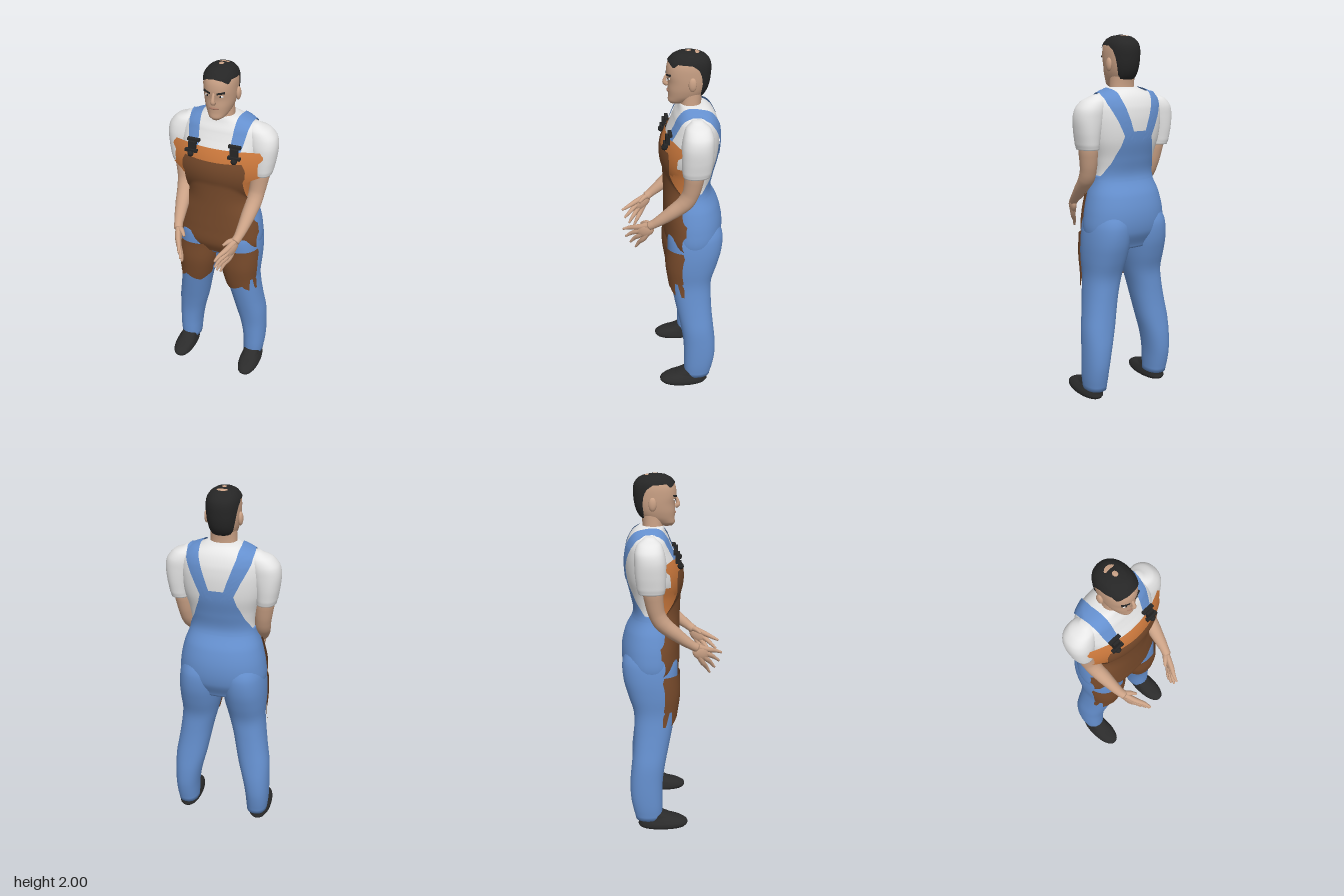
import * as THREE from 'three';
import { mergeVertices } from 'three/addons/utils/BufferGeometryUtils.js';

const P = 0.9; // roundness of the cross-sections
const lerp = (a, b, t) => a + (b - a) * t;
const pw = v => Math.sign(v) * Math.abs(v) ** P;
const rad = d => d * Math.PI / 180;
const mat = (name, color) => {
  const m = new THREE.MeshStandardMaterial({ color, side: THREE.DoubleSide });
  m.name = name;
  return m;
};
// Piecewise linear value from [key, value] pairs
const ramp = pts => k => {
  let i = 0;
  while (i < pts.length - 2 && k > pts[i + 1][0]) i++;
  const t = THREE.MathUtils.clamp((k - pts[i][0]) / (pts[i + 1][0] - pts[i][0]), 0, 1);
  return lerp(pts[i][1], pts[i + 1][1], t);
};
// Smooth body surface from rows of [y, centre x, centre z, half width, front depth, back depth]
const surface = rows => {
  const s = y => {
    let i = 0;
    while (i < rows.length - 2 && y > rows[i + 1][0]) i++;
    const t = THREE.MathUtils.clamp((y - rows[i][0]) / (rows[i + 1][0] - rows[i][0]), 0, 1);
    const A = rows[Math.max(i - 1, 0)], B = rows[i], C = rows[i + 1], D = rows[Math.min(i + 2, rows.length - 1)];
    return [1, 2, 3, 4, 5].map(k => {
      const m0 = (C[k] - A[k]) / 2, m1 = (D[k] - B[k]) / 2;
      const v = (2 * t ** 3 - 3 * t * t + 1) * B[k] + (t ** 3 - 2 * t * t + t) * m0 + (3 * t * t - 2 * t ** 3) * C[k] + (t ** 3 - t * t) * m1;
      return k > 2 ? Math.max(v, 0.001) : v;
    });
  };
  s.min = rows[0][0];
  s.max = rows[rows.length - 1][0];
  return s;
};
const inside = (s, x, y, z) => {
  if (y < s.min || y > s.max) return false;
  const [cx, cz, rx, f, b] = s(y);
  return (Math.abs(x - cx) / rx) ** (2 / P) + (Math.abs(z - cz) / (z > cz ? f : b)) ** (2 / P) < 1;
};
// Grid surface from a function of (u, v)
function grid(fn, nu, nv) {
  const pos = [], idx = [];
  for (let j = 0; j <= nv; j++) for (let i = 0; i <= nu; i++) pos.push(...fn(i / nu, j / nv));
  for (let j = 0; j < nv; j++) for (let i = 0; i < nu; i++) {
    const a = j * (nu + 1) + i, b = a + 1, c = a + nu + 1, d = c + 1;
    idx.push(a, b, d, a, d, c);
  }
  let g = new THREE.BufferGeometry();
  g.setAttribute('position', new THREE.Float32BufferAttribute(pos, 3));
  g.setIndex(idx);
  g = mergeVertices(g, 1e-5);
  g.computeVertexNormals();
  return g;
}
const onSurface = (s, y, a, off, k = 1) => {
  const [cx, cz, rx, f, b] = s(y), c = Math.cos(a);
  return [cx + k * (rx + off) * pw(Math.sin(a)), y, cz + k * ((c > 0 ? f : b) + off) * pw(c)];
};
// Closed loft between two heights
const loft = (s, y0 = s.min, y1 = s.max, off = 0, n = 40) => grid((u, v) => {
  const w = (v * (n + 2) - 1) / n, k = w < -1e-6 || w > 1 + 1e-6 ? 0 : 1;
  return onSurface(s, lerp(y0, y1, THREE.MathUtils.clamp(w, 0, 1)), lerp(-Math.PI, Math.PI, u), off, k);
}, 40, n + 2);
// Cloth wrapped round a surface between two angles
const wrap = (s, a0, a1, bot, top, off, nu = 32, nv = 20) => grid((u, v) => {
  const y = lerp(bot(u), top, v);
  return onSurface(s, y, lerp(a0(y), a1(y), u), off);
}, nu, nv);
// Cloth hanging on the front of a surface
const drape = (s, hw, bot, top, off, bib = () => -9) => grid((u, v) => {
  const y = lerp(bot(u), top(u), v), [cx, cz, rx, f] = s(y);
  const d = Math.sin((2 * u - 1) * Math.PI / 2) * hw(y);
  const c = Math.min(Math.abs(d * 0.95) / rx, 1) ** (1 / P);
  return [cx + d, y, Math.max(cz + f * Math.sqrt(1 - c * c) ** P, bib(d, y)) + off];
}, 48, 44);
// Tapered round limb through [x, y, z, radius] points
function limb(pts, n = 14, steps = 20) {
  const curve = new THREE.CatmullRomCurve3(pts.map(p => new THREE.Vector3(p[0], p[1], p[2])));
  const radius = ramp(pts.map((p, i) => [i / (pts.length - 1), p[3]]));
  return grid((u, v) => {
    const w = THREE.MathUtils.clamp((v * (steps + 2) - 1) / steps, 0, 1);
    const r = v === 0 || v === 1 ? 0 : radius(w);
    const p = curve.getPoint(w), t = curve.getTangent(w);
    const e = new THREE.Vector3(1, 0, 0).addScaledVector(t, -t.x).normalize(), h = t.clone().cross(e);
    const a = u * 2 * Math.PI;
    return p.addScaledVector(e, r * Math.cos(a)).addScaledVector(h, r * Math.sin(a)).toArray();
  }, n, steps + 2);
}

export function createModel() {
  const root = new THREE.Group();
  const skin = mat('skin', 0xcba286), white = mat('shirtWhite', 0xe6e6e6), blue = mat('denimBlue', 0x6590cf);
  const brown = mat('leatherBrown', 0x774a2b), orange = mat('leatherOrange', 0xcb783c);
  const black = mat('hairBlack', 0x262626), shoeBlack = mat('shoeBlack', 0x2b2b2b), lip = mat('lipTone', 0xa97a66);
  const add = (name, g, m, x = 0, y = 0, z = 0) => {
    const o = new THREE.Mesh(g, m);
    o.name = name;
    o.position.set(x, y, z);
    root.add(o);
    return o;
  };
  const box = (w, h, d) => new THREE.BoxGeometry(w, h, d);

  // Torso: shirt above, overalls below
  const torso = surface([
    [0.86, 0, -0.11, 0.2, 0.1, 0.12], [0.95, 0, -0.11, 0.238, 0.138, 0.16], [1.05, 0, -0.11, 0.233, 0.142, 0.167],
    [1.15, 0, -0.11, 0.21, 0.142, 0.145], [1.25, 0, -0.11, 0.175, 0.143, 0.098], [1.35, 0, -0.11, 0.183, 0.148, 0.112],
    [1.45, 0, -0.11, 0.212, 0.16, 0.135], [1.55, 0, -0.11, 0.225, 0.14, 0.142], [1.62, 0, -0.11, 0.222, 0.11, 0.136],
    [1.66, 0, -0.11, 0.205, 0.095, 0.122], [1.69, 0, -0.11, 0.165, 0.078, 0.105], [1.715, 0, -0.105, 0.1, 0.065, 0.085],
    [1.725, 0, -0.1, 0.08, 0.055, 0.072]]);
  add('shirt', loft(torso, 1.2, 1.725), white);
  add('overallsHips', loft(torso, 0.86, 1.26, 0.004), blue);
  const backHalf = ramp([[1.23, rad(88)], [1.27, rad(68)], [1.33, rad(46)], [1.42, rad(27)], [1.5, rad(18)]]);
  add('overallsBack', wrap(torso, y => Math.PI - backHalf(y), y => Math.PI + backHalf(y), () => 1.23, 1.5, 0.006), blue);

  // Apron bib and skirt
  const bib = (x, y) => 0.055 - 2 * (y - 1.45) ** 2 - 1.25 * x * x;
  const orangeHalf = ramp([[1.38, 0.18], [1.4, 0.2], [1.42, 0.25], [1.43, 0.235], [1.5, 0.235], [1.52, 0.255], [1.55, 0.255], [1.57, 0.24]]);
  add('apronLining', drape(torso, orangeHalf, u => 1.38, u => 1.55 + 0.02 * Math.sin(u * Math.PI), 0.006, bib), orange);
  add('apronSideLining', wrap(torso, () => -rad(72), () => rad(72), () => 1.24, 1.42, 0.006), orange);
  const apronHalf = ramp([[0.88, 0.235], [1.02, 0.237], [1.03, 0.243], [1.1, 0.232], [1.11, 0.222], [1.18, 0.198], [1.25, 0.178],
    [1.3, 0.172], [1.4, 0.166], [1.42, 0.178], [1.47, 0.178], [1.515, 0.155]]);
  add('apronFront', drape(torso, apronHalf, u => 0.88, u => 1.505, 0.014, bib), brown);

  for (const s of [1, -1]) {
    const side = s > 0 ? 'left' : 'right';
    const part = (name, ...rest) => add(side + name, ...rest);
    const mx = rows => rows.map(([a, b, ...r]) => [a, s * b, ...r]);
    const mp = pts => pts.map(([a, ...r]) => [s * a, ...r]);

    // Trouser leg, apron flap and shoe
    const leg = surface(mx([
      [0.05, 0.215, -0.135, 0.06, 0.075, 0.078], [0.12, 0.217, -0.14, 0.066, 0.083, 0.088], [0.2, 0.215, -0.145, 0.071, 0.088, 0.095],
      [0.3, 0.205, -0.145, 0.08, 0.092, 0.095], [0.4, 0.19, -0.138, 0.09, 0.1, 0.092], [0.5, 0.172, -0.125, 0.092, 0.107, 0.095],
      [0.6, 0.155, -0.11, 0.095, 0.112, 0.105], [0.7, 0.138, -0.105, 0.103, 0.125, 0.112], [0.8, 0.13, -0.105, 0.117, 0.138, 0.142],
      [0.9, 0.125, -0.11, 0.122, 0.142, 0.162], [1, 0.118, -0.11, 0.116, 0.14, 0.164], [1.08, 0.11, -0.11, 0.09, 0.11, 0.13]]));
    part('TrouserLeg', loft(leg), blue);
    const hem = ramp([[0, 0.67], [0.14, 0.66], [0.3, 0.632], [0.45, 0.645], [0.62, 0.675], [0.64, 0.66], [0.76, 0.632], [0.78, 0.72], [0.86, 0.72], [0.88, 0.635], [1, 0.635]]);
    const flapHalf = ramp([[0.63, 0.097], [0.7, 0.104], [0.72, 0.104], [0.73, 0.108], [0.8, 0.117], [0.9, 0.124], [0.95, 0.12]]);
    part('ApronFlap', drape(leg, flapHalf, u => hem(s > 0 ? u : 1 - u), u => 0.93, 0.013), brown);
    const shoe = surface(mx([
      [0, 0.222, -0.06, 0.058, 0.138, 0.13], [0.012, 0.222, -0.06, 0.064, 0.148, 0.138], [0.03, 0.222, -0.06, 0.063, 0.146, 0.135],
      [0.05, 0.22, -0.065, 0.056, 0.12, 0.13], [0.065, 0.218, -0.09, 0.05, 0.09, 0.1], [0.1, 0.217, -0.12, 0.046, 0.05, 0.07]]));
    part('Shoe', loft(shoe), shoeBlack);

    // Sleeve and arm
    const sleeve = surface(mx([
      [1.405, 0.232, -0.105, 0.054, 0.065, 0.074], [1.43, 0.235, -0.106, 0.058, 0.071, 0.08], [1.5, 0.236, -0.11, 0.068, 0.078, 0.084],
      [1.57, 0.23, -0.112, 0.079, 0.08, 0.085], [1.62, 0.22, -0.115, 0.078, 0.074, 0.08], [1.66, 0.2, -0.115, 0.062, 0.058, 0.064],
      [1.69, 0.172, -0.115, 0.025, 0.024, 0.026]]));
    part('Sleeve', loft(sleeve), white);
    part('Arm', limb(mp([[0.232, 1.47, -0.105, 0.052], [0.222, 1.39, -0.1, 0.053], [0.212, 1.29, -0.083, 0.045],
      [0.205, 1.235, -0.055, 0.045], [0.195, 1.175, 0.01, 0.039], [0.178, 1.1, 0.105, 0.025], [0.168, 1.08, 0.135, 0.024]]), 20, 36), skin);

    // Hand
    const palm = part('Palm', new THREE.SphereGeometry(1, 20, 14), skin, s * 0.158, 1.05, 0.158);
    palm.scale.set(0.02, 0.04, 0.056);
    palm.rotation.set(0.6, -s * 0.4, 0, 'YXZ');
    const fingers = [
      [0.14, 1.06, 0.2, 0.105, 1.03, 0.278], [0.142, 1.035, 0.197, 0.101, 0.98, 0.265],
      [0.146, 1.012, 0.185, 0.104, 0.943, 0.24], [0.152, 0.992, 0.167, 0.115, 0.917, 0.212]];
    for (const [kx, ky, kz, tx, ty, tz] of fingers) {
      part('Finger', limb(mp([[0.174, 1.09, 0.12, 0.017], [kx, ky, kz, 0.015],
        [lerp(kx, tx, 0.55) - 0.004, lerp(ky, ty, 0.5), lerp(kz, tz, 0.55), 0.011], [tx, ty, tz, 0.006]]), 10, 14), skin);
    }
    part('Thumb', limb(mp([[0.17, 1.085, 0.125, 0.017], [0.14, 1.085, 0.15, 0.014], [0.114, 1.07, 0.176, 0.007]]), 10, 10), skin);

    // Shoulder strap laid over the shirt
    const strapX = ramp([[0, 0.115], [0.2, 0.128], [0.42, 0.143], [0.55, 0.135], [0.75, 0.092], [1, 0.048]]);
    part('Strap', grid((u, v) => {
      const a = rad(lerp(27, 202, v)), x = s * strapX(v) + (u - 0.5) * (0.056 + 0.016 * Math.sin(v * Math.PI));
      let r = 0.04;
      while (r < 0.4 && [torso, sleeve].some(b => inside(b, x, 1.5 + r * Math.sin(a), -0.11 + r * Math.cos(a)))) r += 0.001;
      r += 0.009;
      return [x, 1.5 + r * Math.sin(a), -0.11 + r * Math.cos(a)];
    }, 8, 48), blue);

    // Strap buckle
    part('BuckleTop', box(0.068, 0.014, 0.02), black, s * 0.115, 1.595, 0.018);
    part('BuckleClip', box(0.042, 0.05, 0.022), black, s * 0.117, 1.565, 0.03);
    part('BuckleBar', box(0.07, 0.014, 0.02), black, s * 0.12, 1.542, 0.042);
    part('BuckleButton', new THREE.SphereGeometry(0.017, 14, 10), black, s * 0.122, 1.525, 0.047);

    // Ear, brow and eye
    part('Ear', new THREE.SphereGeometry(1, 16, 12), skin, s * 0.088, 1.843, -0.1).scale.set(0.013, 0.036, 0.021);
    const brow = part('Brow', box(0.042, 0.009, 0.008), black, s * 0.037, 1.881, 0.018);
    brow.rotation.set(0, s * 0.35, s * 0.15);
    const eye = part('Eye', new THREE.SphereGeometry(1, 12, 8), white, s * 0.036, 1.862, 0.014);
    eye.scale.set(0.014, 0.005, 0.006);
    part('Pupil', new THREE.SphereGeometry(0.0055, 10, 8), black, s * 0.035, 1.862, 0.017);
  }

  // Neck and head
  add('neck', loft(surface([[1.66, 0, -0.1, 0.08, 0.06, 0.07], [1.72, 0, -0.095, 0.07, 0.052, 0.06], [1.82, 0, -0.095, 0.066, 0.05, 0.07]])), skin);
  const head = surface([
    [1.722, 0, -0.025, 0.022, 0.03, 0.03], [1.735, 0, -0.04, 0.043, 0.058, 0.055], [1.765, 0, -0.07, 0.063, 0.088, 0.085],
    [1.8, 0, -0.08, 0.075, 0.1, 0.1], [1.84, 0, -0.085, 0.082, 0.105, 0.107], [1.88, 0, -0.085, 0.085, 0.112, 0.112],
    [1.92, 0, -0.085, 0.085, 0.11, 0.113], [1.95, 0, -0.085, 0.079, 0.1, 0.105], [1.975, 0, -0.085, 0.062, 0.078, 0.083],
    [1.99, 0, -0.085, 0.038, 0.048, 0.052], [1.996, 0, -0.085, 0.008, 0.01, 0.01]]);
  add('head', loft(head), skin);
  const hairline = ramp([[0, 1.95], [25, 1.944], [48, 1.925], [60, 1.945], [95, 1.94], [112, 1.915], [122, 1.87], [130, 1.79], [145, 1.76], [180, 1.752]]);
  add('hair', wrap(head, () => -Math.PI, () => Math.PI, u => hairline(Math.abs(u * 360 - 180)), 1.996, 0.005, 72, 24), black);
  add('nose', limb([[0, 1.88, 0.02, 0.007], [0, 1.85, 0.034, 0.009], [0, 1.832, 0.034, 0.013], [0, 1.822, 0.02, 0.011]], 12, 12), skin);
  add('mouth', new THREE.SphereGeometry(1, 16, 8), lip, 0, 1.793, 0.014).scale.set(0.026, 0.0075, 0.012);
  return root;
}
